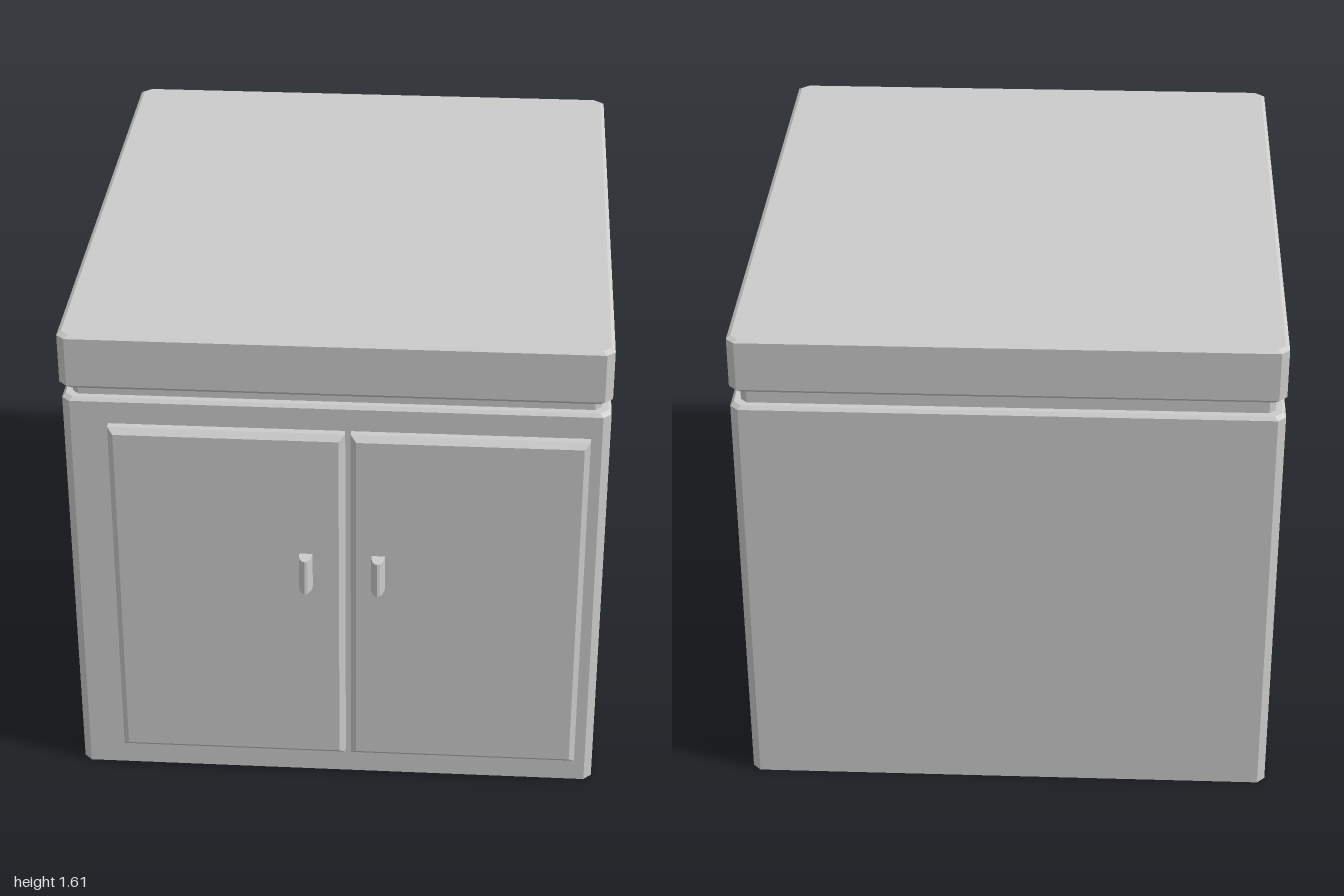
import * as THREE from 'three';

const material = new THREE.MeshStandardMaterial({ color: 0xcccccc, flatShading: true });

function addMesh(parent, name, geometry) {
  const mesh = new THREE.Mesh(geometry, material);
  mesh.name = name;
  parent.add(mesh);
  return mesh;
}

// Slab with cut corners, lofted through levels of [height, inset].
function slab(halfX, back, front, cut, levels) {
  const positions = [];
  const index = [];
  for (const [y, inset] of levels) {
    const x = halfX - inset, b = back + inset, f = front - inset;
    const ring = [
      [x, f - cut], [x, b + cut], [x - cut, b], [-x + cut, b],
      [-x, b + cut], [-x, f - cut], [-x + cut, f], [x - cut, f],
    ];
    for (const [px, pz] of ring) positions.push(px, y, pz);
  }
  const last = (levels.length - 1) * 8;
  for (let r = 0; r < last; r += 8) {
    for (let i = 0; i < 8; i++) {
      const a = r + i, b = r + (i + 1) % 8;
      index.push(a, b, b + 8, a, b + 8, a + 8);
    }
  }
  // Bottom and top caps
  for (let i = 1; i < 7; i++) {
    index.push(0, i + 1, i, last, last + i, last + i + 1);
  }
  const indexed = new THREE.BufferGeometry();
  indexed.setAttribute('position', new THREE.Float32BufferAttribute(positions, 3));
  indexed.setIndex(index);
  const geometry = indexed.toNonIndexed();
  geometry.computeVertexNormals();
  return geometry;
}

// Door panel with a bevelled front edge; its back sits inside the cabinet.
function doorPanel(width, height) {
  const w = width / 2, h = height / 2, bevel = 0.018;
  const shape = new THREE.Shape([
    new THREE.Vector2(-w, -h), new THREE.Vector2(w, -h),
    new THREE.Vector2(w, h), new THREE.Vector2(-w, h),
  ]);
  return new THREE.ExtrudeGeometry(shape, {
    depth: 0.03, bevelEnabled: true, bevelSegments: 1,
    bevelSize: bevel, bevelThickness: bevel, bevelOffset: -bevel,
  });
}

export function createModel() {
  const cabinet = new THREE.Group();
  cabinet.name = 'cabinet';

  // Carcass, recessed neck and worktop
  addMesh(cabinet, 'body', slab(0.84, -1, 0.91, 0.025, [[0, 0], [1.37, 0], [1.38, 0.01]]));
  addMesh(cabinet, 'neck', slab(0.81, -0.97, 0.88, 0.02, [[1.36, 0], [1.44, 0]]));
  addMesh(cabinet, 'worktop', slab(0.84, -1, 0.94, 0.025,
    [[1.428, 0.012], [1.44, 0], [1.6, 0], [1.608, 0.012]]));

  // Doors with elliptical handles
  const doors = [
    { name: 'rightDoor', x: -0.333, handleX: -0.09 },
    { name: 'leftDoor', x: 0.415, handleX: 0.137 },
  ];
  for (const { name, x, handleX } of doors) {
    const door = new THREE.Group();
    door.name = name;
    cabinet.add(door);
    addMesh(door, 'panel', doorPanel(0.73, 1.205)).position.set(x, 0.693, 0.902);

    const handle = addMesh(door, 'handle', new THREE.CylinderGeometry(1, 1, 0.12, 16));
    handle.scale.set(0.022, 1, 0.055);
    handle.position.set(handleX, 0.81, 0.945);
  }

  return cabinet;
}
